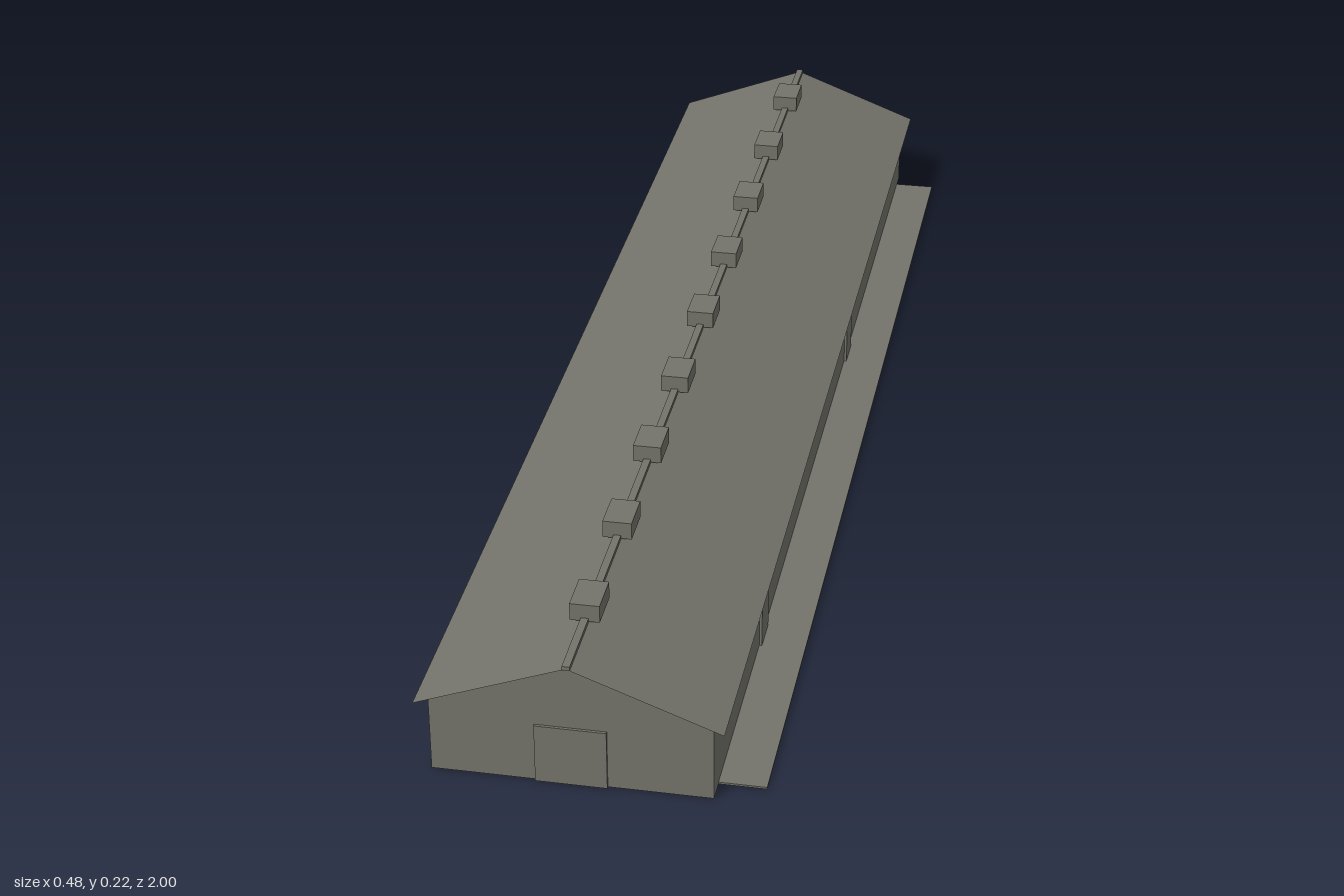
import * as THREE from 'three';

export function createModel() {
  const group = new THREE.Group();
  const grey = new THREE.MeshStandardMaterial({ color: 0x73736b, side: THREE.DoubleSide });
  grey.name = 'weathered grey';

  const CX = -0.025;       // ridge line
  const HALF_W = 0.196;    // half the width of the walls
  const HALF_L = 0.983;    // half the length of the walls
  const WALL_H = 0.116, RIDGE_H = 0.196;

  function add(name, geometry, x = 0, y = 0, z = 0) {
    const mesh = new THREE.Mesh(geometry, grey);
    mesh.name = name;
    mesh.position.set(x, y, z);
    group.add(mesh);
    return mesh;
  }
  // Box standing on height y
  const box = (name, w, h, d, x, y, z) =>
    add(name, new THREE.BoxGeometry(w, h, d), x, y + h / 2, z);

  // Gable end outline
  const gable = new THREE.Shape([
    new THREE.Vector2(-HALF_W, 0),
    new THREE.Vector2(HALF_W, 0),
    new THREE.Vector2(HALF_W, WALL_H),
    new THREE.Vector2(0, RIDGE_H),
    new THREE.Vector2(-HALF_W, WALL_H),
  ]);

  for (const s of [1, -1]) {
    const end = s > 0 ? 'front' : 'back';
    const side = s > 0 ? 'left' : 'right';

    // End wall with its large door
    const wall = add(end + 'GableWall', new THREE.ShapeGeometry(gable), CX, 0, s * HALF_L);
    if (s < 0) wall.rotation.y = Math.PI;
    box(end + 'Door', 0.1, 0.091, 0.005, CX, 0, s * (HALF_L + 0.0015));

    // Long wall
    const long = add(side + 'Wall', new THREE.PlaneGeometry(2 * HALF_L, WALL_H),
      CX + s * HALF_W, WALL_H / 2, 0);
    long.rotation.y = s * Math.PI / 2;

    // Thin roof slope, overhanging the walls
    const run = 0.213, drop = 0.081, top = 0.198;
    const slope = new THREE.PlaneGeometry(Math.hypot(run, drop), 2);
    slope.rotateX(-Math.PI / 2);
    slope.rotateZ(-s * Math.atan2(drop, run));
    add(side + 'RoofSlope', slope, CX + s * run / 2, top - drop / 2, 0);
  }

  // Flat ceiling, with the building open underneath
  const ceiling = add('ceiling', new THREE.PlaneGeometry(2 * HALF_W, 2 * HALF_L), CX, WALL_H - 0.001, 0);
  ceiling.rotation.x = Math.PI / 2;

  // Ridge cap and row of roof vents
  box('ridgeCap', 0.011, 0.006, 2, CX, 0.196, 0);
  for (let i = -4; i <= 4; i++) {
    box('roofVent', 0.042, 0.026, 0.062, CX, 0.197, i * 0.2130);
  }

  // Side doors and the walkway along them
  for (const z of [0.59, -0.275]) {
    box('sideDoor', 0.006, 0.073, 0.055, CX + HALF_W + 0.001, 0, z);
  }
  box('walkway', 0.067, 0.003, 1.9, 0.2045, 0, 0);

  return group;
}
